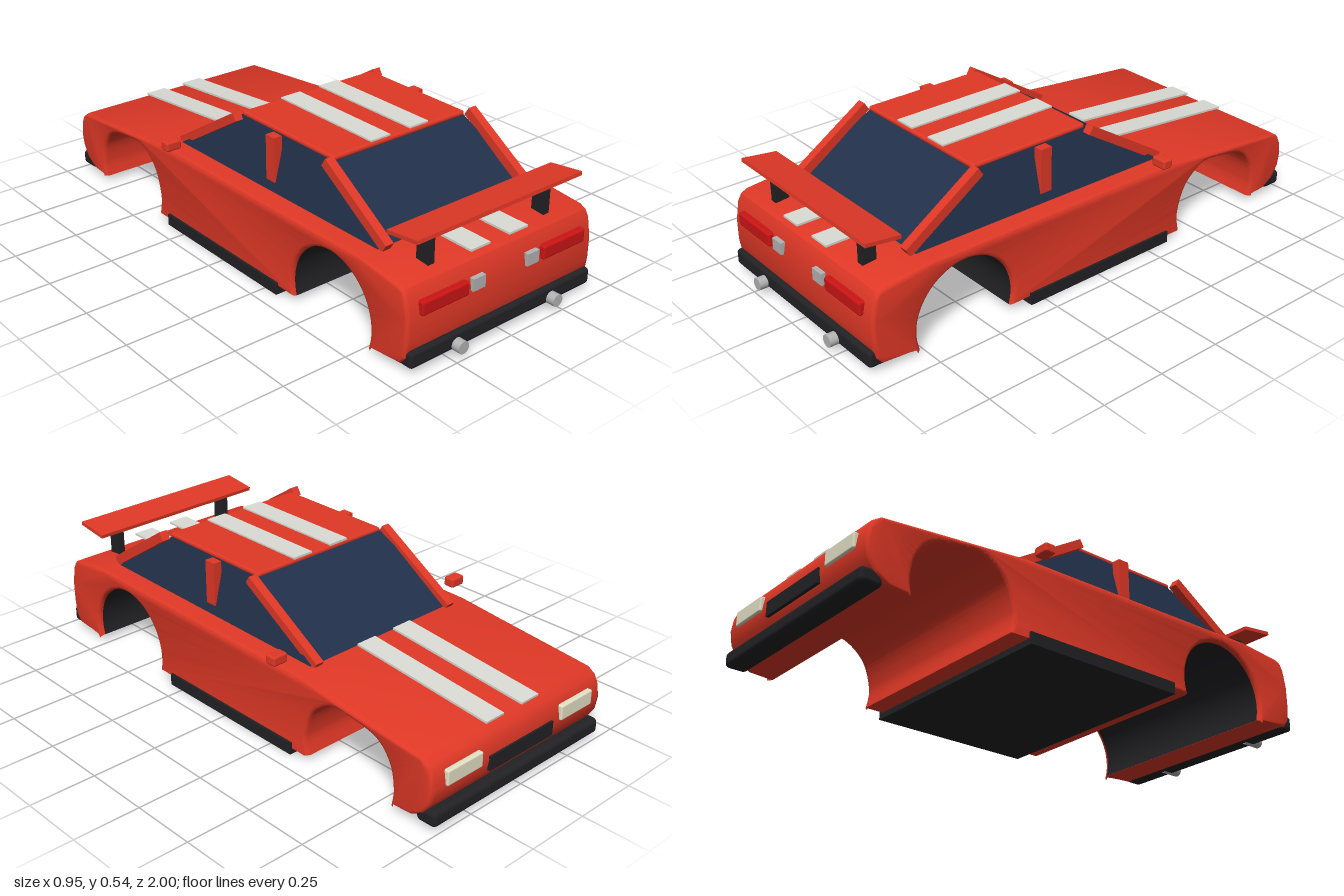
import * as THREE from 'three';
import { toCreasedNormals } from 'three/addons/utils/BufferGeometryUtils.js';
import { RoundedBoxGeometry } from 'three/addons/geometries/RoundedBoxGeometry.js';

const mat = (color) => new THREE.MeshStandardMaterial({ color });

export function createModel() {
  const car = new THREE.Group();
  car.name = 'car';
  const red = mat(0xe03826), black = mat(0x222225), glass = mat(0x22304a);
  const white = mat(0xdcdcd6), lampRed = mat(0xcc1414), cream = mat(0xe6e2c8), metal = mat(0xb4b4b4);

  const add = (name, geometry, material) => {
    const mesh = new THREE.Mesh(geometry, material);
    mesh.name = name;
    car.add(mesh);
    return mesh;
  };
  // Box given by its limits on each axis, optionally rounded
  const box = (name, material, [x0, x1], [y0, y1], [z0, z1], round = 0) => {
    const size = [x1 - x0, y1 - y0, z1 - z0];
    const g = round ? new RoundedBoxGeometry(...size, 3, round) : new THREE.BoxGeometry(...size);
    const mesh = add(name, g, material);
    mesh.position.set((x0 + x1) / 2, (y0 + y1) / 2, (z0 + z1) / 2);
    return mesh;
  };
  // Bar running in the side plane between two (z, y) points
  const bar = (name, material, x, width, thick, [z0, y0], [z1, y1]) => {
    const dz = z1 - z0, dy = y1 - y0;
    const mesh = add(name, new THREE.BoxGeometry(width, thick, Math.hypot(dz, dy)), material);
    mesh.position.set(x, (y0 + y1) / 2, (z0 + z1) / 2);
    mesh.rotation.x = -Math.atan2(dy, dz);
    return mesh;
  };

  // Body: side outline (z, y) with both wheel arches, extruded across the width
  const dip = 0.294;
  const outline = new THREE.Shape();
  outline.moveTo(0.92, 0.03);
  outline.lineTo(0.774, 0.025);
  outline.absarc(0.583, 0.083, 0.2, -dip, Math.PI + dip, false);
  outline.lineTo(-0.424, 0.022);
  outline.splineThru([
    [-0.414, 0.1], [-0.448, 0.2], [-0.53, 0.262], [-0.62, 0.262],
    [-0.74, 0.238], [-0.8, 0.175], [-0.819, 0.09], [-0.812, 0.025],
  ].map(([z, y]) => new THREE.Vector2(z, y)));
  [[-0.9, 0.03], [-0.95, 0.06], [-0.98, 0.11], [-0.988, 0.16], [-0.98, 0.21], [-0.965, 0.24],
    [-0.935, 0.26], [-0.52, 0.299], [-0.36, 0.315], [0.72, 0.326], [0.9, 0.309], [0.925, 0.297],
    [0.94, 0.27], [0.953, 0.2], [0.953, 0.12], [0.945, 0.06]].forEach(([z, y]) => outline.lineTo(z, y));
  const half = 0.428, bevel = 0.016;
  let body = new THREE.ExtrudeGeometry(outline, {
    depth: 2 * (half - bevel), curveSegments: 28,
    bevelThickness: bevel, bevelSize: 0.014, bevelOffset: -0.014, bevelSegments: 3,
  });
  body.translate(0, 0, -(half - bevel)).rotateY(-Math.PI / 2);
  body = toCreasedNormals(body, 0.6);
  add('body', body, red);

  // Dark lining in the rear wheel arch
  const liner = new THREE.CylinderGeometry(0.199, 0.199, 0.82, 40, 1, true, -dip, Math.PI + 2 * dip);
  liner.rotateZ(Math.PI / 2).translate(0, 0.083, 0.583);
  const linerMat = mat(0x222225);
  linerMat.side = THREE.DoubleSide;
  add('rearArchLiner', liner, linerMat);

  box('floorPan', black, [-0.437, 0.437], [0, 0.045], [-0.35, 0.312]);

  // Glasshouse: box whose top is pulled in on all sides
  const cabin = new THREE.BoxGeometry(1, 1, 1);
  const p = cabin.attributes.position;
  for (let i = 0; i < p.count; i++) {
    const top = p.getY(i) > 0, back = p.getZ(i) > 0;
    p.setXYZ(i, Math.sign(p.getX(i)) * (top ? 0.3 : 0.352), top ? 0.523 : 0.312,
      back ? (top ? 0.44 : 0.745) : (top ? -0.04 : -0.365));
  }
  const flatCabin = cabin.toNonIndexed();
  flatCabin.computeVertexNormals();
  add('cabinGlass', flatCabin, glass);
  box('roof', red, [-0.302, 0.302], [0.515, 0.535], [-0.043, 0.452], 0.009);

  // Rear wing
  bar('wing', red, 0, 0.752, 0.014, [0.795, 0.429], [0.93, 0.446]);

  // Bumpers and grille
  box('rearBumper', black, [-0.42, 0.42], [0.025, 0.086], [0.9, 0.968], 0.014);
  box('frontBumper', black, [-0.422, 0.422], [0.02, 0.078], [-0.998, -0.915], 0.018);
  box('grille', black, [-0.16, 0.16], [0.118, 0.172], [-0.994, -0.96]);

  // Parts mirrored left and right
  for (const s of [1, -1]) {
    const side = s > 0 ? 'left' : 'right';
    const span = (a, b) => (s > 0 ? [a, b] : [-b, -a]);
    bar(side + 'RearPillar', red, s * 0.328, 0.034, 0.036, [0.75, 0.335], [0.452, 0.529]);
    bar(side + 'FrontPillar', red, s * 0.328, 0.034, 0.032, [-0.375, 0.315], [-0.035, 0.523]);
    box(side + 'MiddlePillar', red, span(0.311, 0.345), [0.355, 0.522], [0.147, 0.194]);
    box(side + 'Mirror', red, span(0.412, 0.474), [0.338, 0.375], [-0.316, -0.272], 0.008);

    // Racing stripes on hood, roof and rear deck
    bar(side + 'HoodStripe', white, s * 0.088, 0.086, 0.008, [-0.945, 0.264], [-0.362, 0.319]);
    box(side + 'RoofStripe', white, span(0.045, 0.131), [0.533, 0.541], [-0.04, 0.445]);
    box(side + 'DeckStripe', white, span(0.045, 0.131), [0.325, 0.333], [0.725, 0.923]);

    box(side + 'WingSupport', black, span(0.252, 0.279), [0.305, 0.432], [0.828, 0.882]);
    box(side + 'TailLight', lampRed, span(0.172, 0.376), [0.202, 0.253], [0.93, 0.966], 0.008);
    box(side + 'ReverseLight', metal, span(0.098, 0.152), [0.205, 0.25], [0.93, 0.962]);
    box(side + 'Headlight', cream, span(0.2, 0.367), [0.155, 0.212], [-0.997, -0.955], 0.006);

    const pipe = new THREE.CylinderGeometry(0.023, 0.023, 0.08, 20).rotateX(Math.PI / 2);
    add(side + 'Exhaust', pipe, metal).position.set(s * 0.222, 0.045, 0.96);
  }
  return car;
}
